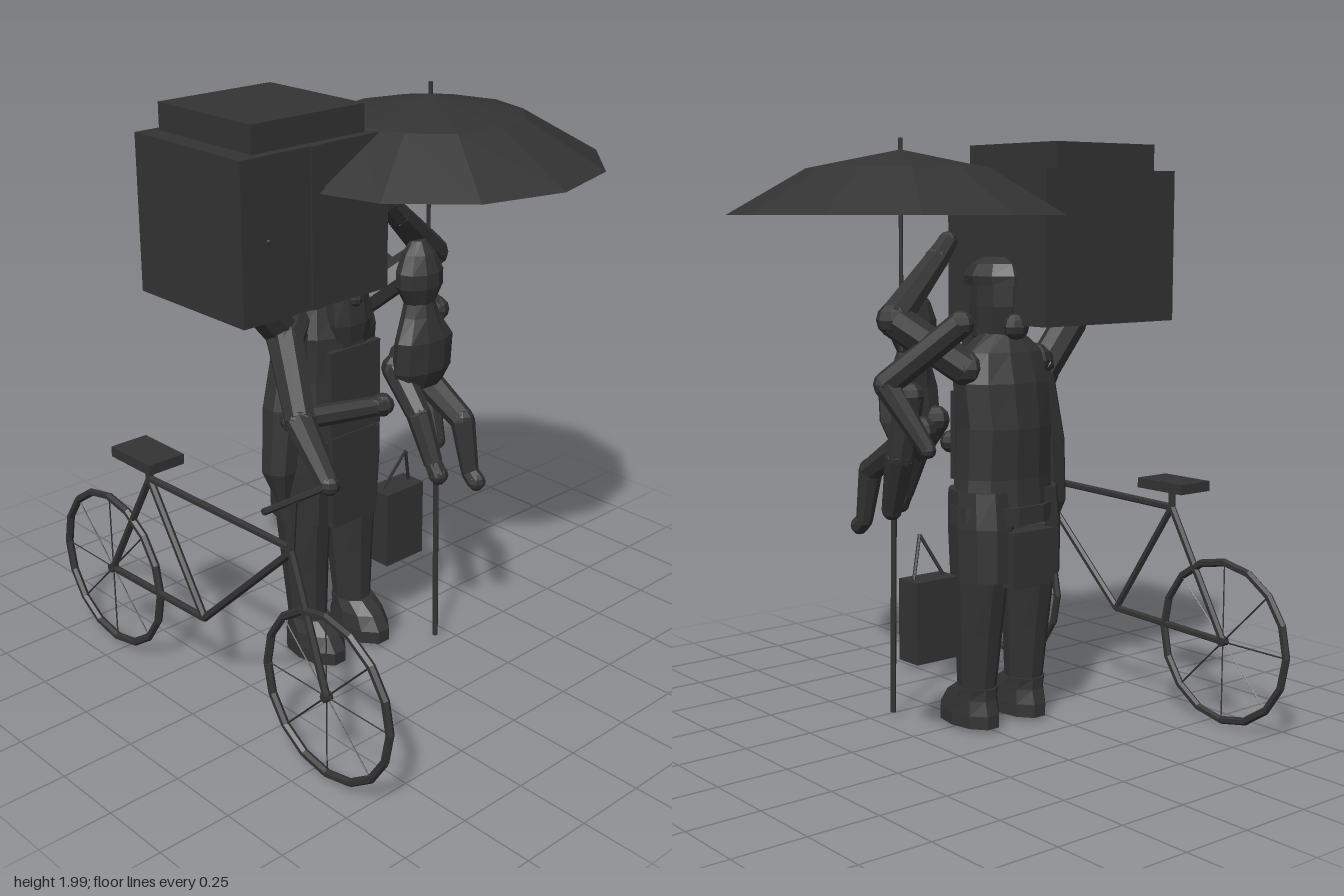
import * as THREE from 'three';

const charcoal = new THREE.MeshStandardMaterial({ color: 0x333333, flatShading: true, side: THREE.DoubleSide });
charcoal.name = 'charcoal';
const V = (p) => new THREE.Vector3(...p);

function add(parent, name, geometry, pos = [0, 0, 0]) {
  const m = new THREE.Mesh(geometry, charcoal);
  m.name = name;
  m.position.set(...pos);
  parent.add(m);
  return m;
}

// Box given by its minimum and maximum corners
function box(parent, name, a, b) {
  return add(parent, name, new THREE.BoxGeometry(b[0] - a[0], b[1] - a[1], b[2] - a[2]),
    a.map((v, i) => (v + b[i]) / 2));
}

// Tapered rod between two points
function rod(parent, name, a, b, ra, rb = ra, sides = 6) {
  const A = V(a), B = V(b), d = B.clone().sub(A);
  const m = add(parent, name, new THREE.CylinderGeometry(rb, ra, d.length(), sides));
  m.position.copy(A).add(B).multiplyScalar(0.5);
  m.quaternion.setFromUnitVectors(new THREE.Vector3(0, 1, 0), d.normalize());
  return m;
}

function ball(parent, name, pos, sx, sy, sz) {
  const m = add(parent, name, new THREE.SphereGeometry(1, 8, 6), pos);
  m.scale.set(sx, sy, sz);
  return m;
}

// Jointed limb through points [x, y, z, radius]
function limb(parent, name, pts) {
  const g = new THREE.Group();
  g.name = name;
  parent.add(g);
  pts.forEach((p, i) => {
    const c = p.slice(0, 3);
    ball(g, name + 'Joint', c, p[3], p[3], p[3]);
    if (i) rod(g, name + 'Segment', pts[i - 1].slice(0, 3), c, pts[i - 1][3], p[3], 8);
  });
  return g;
}

// Closed body lofted through oval rings [x, y, z, halfWidth, halfDepth], bottom to top
function loft(parent, name, rings, sides = 10) {
  const pos = [], idx = [];
  const last = (rings.length - 1) * sides;
  rings.forEach(([x, y, z, rx, rz]) => {
    for (let i = 0; i < sides; i++) {
      const t = ((i + 0.5) / sides) * Math.PI * 2;
      pos.push(x + rx * Math.sin(t), y, z + rz * Math.cos(t));
    }
  });
  for (let r = 0; r < last; r += sides) {
    for (let i = 0; i < sides; i++) {
      const j = (i + 1) % sides;
      idx.push(r + i, r + j, r + sides + j, r + i, r + sides + j, r + sides + i);
    }
  }
  for (let i = 1; i < sides - 1; i++) idx.push(0, i + 1, i, last, last + i, last + i + 1);
  const g = new THREE.BufferGeometry();
  g.setAttribute('position', new THREE.Float32BufferAttribute(pos, 3));
  g.setIndex(idx);
  g.computeVertexNormals();
  return add(parent, name, g);
}

function bicycle() {
  const g = new THREE.Group();
  g.name = 'bicycle';
  const x = -0.655;
  for (const z of [0.56, -0.56]) {
    const rim = add(g, 'tyre', new THREE.TorusGeometry(0.277, 0.014, 6, 16), [x, 0.303, z]);
    rim.rotation.y = Math.PI / 2;
    for (let i = 0; i < 4; i++) {
      const a = (i * Math.PI) / 4, c = Math.cos(a) * 0.275, s = Math.sin(a) * 0.275;
      rod(g, 'spoke', [x, 0.303 - s, z - c], [x, 0.303 + s, z + c], 0.003, 0.003, 4);
    }
    rod(g, 'hub', [x - 0.014, 0.303, z], [x + 0.014, 0.303, z], 0.016, 0.016, 8);
  }
  // Frame tubes as [y, z] pairs
  const tubes = {
    fork: [0.303, 0.56, 0.76, 0.40], stem: [0.74, 0.405, 0.91, 0.42], topTube: [0.75, 0.40, 0.735, -0.31],
    downTube: [0.74, 0.41, 0.32, -0.04], seatTube: [0.32, -0.04, 0.735, -0.31],
    seatStay: [0.735, -0.31, 0.303, -0.56], chainStay: [0.32, -0.04, 0.303, -0.56],
    seatPost: [0.72, -0.31, 0.81, -0.31],
  };
  for (const [n, t] of Object.entries(tubes)) rod(g, n, [x, t[0], t[1]], [x, t[2], t[3]], 0.013);
  rod(g, 'handlebar', [-0.77, 0.915, 0.42], [-0.54, 0.915, 0.42], 0.011);
  box(g, 'saddle', [-0.725, 0.8, -0.42], [-0.585, 0.835, -0.21]);
  return g;
}

function umbrella() {
  const g = new THREE.Group();
  g.name = 'umbrella';
  const profile = [[0.57, 1.75], [0.31, 1.9], [0.002, 1.962]].map((p) => new THREE.Vector2(...p));
  add(g, 'canopy', new THREE.LatheGeometry(profile, 12), [0.193, 0, 0.13]);
  rod(g, 'umbrellaPole', [0.193, 1.3, 0.13], [0.193, 2, 0.13], 0.007);
  return g;
}

function crate() {
  const g = new THREE.Group();
  g.name = 'carriedCrate';
  box(g, 'crate', [-0.65, 1.39, -0.3], [-0.065, 1.897, 0.205]);
  box(g, 'crateLid', [-0.58, 1.89, -0.27], [-0.135, 1.985, 0.172]);
  box(g, 'crateStrip', [-0.385, 1.39, 0.2], [-0.332, 1.897, 0.211]);
  ball(g, 'crateKnob', [-0.55, 1.64, 0.205], 0.008, 0.008, 0.008);
  return g;
}

function man() {
  const g = new THREE.Group();
  g.name = 'man';
  for (const s of [-1, 1]) {
    const x = -0.09 + s * 0.105;
    loft(g, 'boot', [[x, 0.025, -0.01, 0.08, 0.135], [x, 0.07, -0.01, 0.08, 0.135],
      [x, 0.12, -0.02, 0.075, 0.11], [x, 0.16, -0.05, 0.07, 0.08]]);
    loft(g, 'leg', [[x, 0.15, -0.05, 0.065, 0.07], [x, 0.35, -0.06, 0.078, 0.085],
      [x, 0.6, -0.07, 0.09, 0.115], [x, 0.78, -0.06, 0.09, 0.12]]);
    loft(g, 'shortsLeg', [[x, 0.54, -0.075, 0.095, 0.125], [x, 0.72, -0.07, 0.1, 0.13],
      [x, 0.84, -0.06, 0.09, 0.125]]);
  }
  // Torso, belt and apron
  loft(g, 'torso', [[-0.09, 0.74, -0.065, 0.195, 0.14], [-0.09, 0.88, -0.06, 0.185, 0.135],
    [-0.085, 1.05, -0.07, 0.18, 0.135], [-0.08, 1.2, -0.06, 0.185, 0.13],
    [-0.08, 1.3, -0.06, 0.16, 0.1], [-0.09, 1.37, -0.05, 0.07, 0.06]], 12);
  loft(g, 'belt', [[-0.09, 0.73, -0.065, 0.205, 0.15], [-0.09, 0.79, -0.065, 0.205, 0.15]], 12);
  box(g, 'apronSkirt', [-0.19, 0.53, 0.055], [0.01, 0.86, 0.08]);
  box(g, 'apronBib', [-0.19, 0.86, 0.05], [0.03, 1.16, 0.075]);
  box(g, 'backPouch', [-0.18, 0.52, -0.225], [0, 0.71, -0.16]);
  // Head with beard, nose and cap
  loft(g, 'head', [[-0.09, 1.28, -0.02, 0.055, 0.06], [-0.09, 1.35, -0.03, 0.09, 0.095],
    [-0.09, 1.45, -0.04, 0.1, 0.11], [-0.09, 1.54, -0.045, 0.1, 0.11]]);
  loft(g, 'beard', [[-0.08, 1.18, 0.05, 0.07, 0.03], [-0.08, 1.24, 0.05, 0.09, 0.04],
    [-0.085, 1.36, 0.03, 0.085, 0.05]], 8);
  ball(g, 'nose', [-0.088, 1.33, 0.08], 0.024, 0.03, 0.025);
  loft(g, 'cap', [[-0.09, 1.52, -0.04, 0.112, 0.125], [-0.09, 1.55, -0.04, 0.118, 0.125],
    [-0.09, 1.59, -0.045, 0.1, 0.1], [-0.09, 1.612, -0.045, 0.06, 0.06]]);
  ball(g, 'hairBun', [-0.07, 1.385, -0.15], 0.045, 0.045, 0.04);
  // Arms
  limb(g, 'handlebarArm', [[-0.23, 1.26, -0.06, 0.06], [-0.32, 1.22, 0, 0.062],
    [-0.45, 1.04, 0.22, 0.05], [-0.515, 0.92, 0.425, 0.033]]);
  limb(g, 'crateArm', [[-0.29, 1.22, -0.03, 0.06], [-0.43, 1.38, -0.02, 0.06]]);
  limb(g, 'raisedArm', [[0.08, 1.25, -0.07, 0.06], [0.27, 1.41, 0.07, 0.058],
    [0.03, 1.6, 0.15, 0.042], [-0.035, 1.66, 0.17, 0.035]]);
  limb(g, 'foldedArm', [[-0.36, 0.975, 0.07, 0.038], [-0.08, 0.972, 0.16, 0.034], [-0.045, 0.97, 0.165, 0.04]]);
  // Hanging coat on the right hip
  loft(g, 'hangingCoat', [[-0.325, 0.64, -0.02, 0.02, 0.02], [-0.33, 0.76, -0.03, 0.06, 0.06],
    [-0.3, 0.98, -0.04, 0.07, 0.07], [-0.25, 1.22, -0.05, 0.06, 0.06]], 8);
  return g;
}

function rider() {
  const g = new THREE.Group();
  g.name = 'smallRider';
  loft(g, 'riderBody', [[0.13, 1.0, 0.15, 0.1, 0.065], [0.13, 1.06, 0.17, 0.12, 0.07],
    [0.13, 1.17, 0.18, 0.12, 0.065], [0.12, 1.25, 0.17, 0.07, 0.055], [0.12, 1.31, 0.165, 0.05, 0.045]]);
  loft(g, 'riderHead', [[0.12, 1.28, 0.165, 0.05, 0.045], [0.12, 1.35, 0.165, 0.088, 0.065],
    [0.12, 1.4, 0.165, 0.088, 0.065], [0.12, 1.46, 0.16, 0.06, 0.05], [0.12, 1.5, 0.155, 0.025, 0.025]]);
  limb(g, 'riderLeftLeg', [[0.2, 1.04, 0.02, 0.055], [0.21, 0.88, 0.29, 0.042],
    [0.21, 0.7, 0.33, 0.03], [0.21, 0.675, 0.36, 0.032]]);
  limb(g, 'riderRightLeg', [[0.06, 1.06, 0.12, 0.05], [0.05, 0.93, 0.24, 0.042],
    [0.05, 0.78, 0.31, 0.032], [0.055, 0.74, 0.33, 0.034]]);
  limb(g, 'riderHangingArm', [[0.235, 1.16, 0.03, 0.048], [0.24, 0.95, 0.08, 0.05], [0.22, 0.76, 0.155, 0.035]]);
  limb(g, 'riderBentArm', [[0.14, 1.4, -0.12, 0.045], [0.3, 1.2, 0.07, 0.045], [0.23, 0.99, -0.06, 0.028]]);
  return g;
}

export function createModel() {
  const model = new THREE.Group();
  model.name = 'travellers';
  model.add(bicycle(), umbrella(), crate(), man(), rider());
  rod(model, 'cane', [0.178, 0.03, 0.213], [0.178, 0.76, 0.2], 0.01);
  // Hand bag with two straps
  const bag = box(model, 'handBag', [0.092, 0.272, -0.048], [0.268, 0.55, 0.052]);
  bag.geometry.translate(0, 0, 0);
  for (const x of [0.12, 0.245]) rod(model, 'bagStrap', [x, 0.55, 0], [0.19, 0.69, 0.04], 0.006);
  return model;
}
